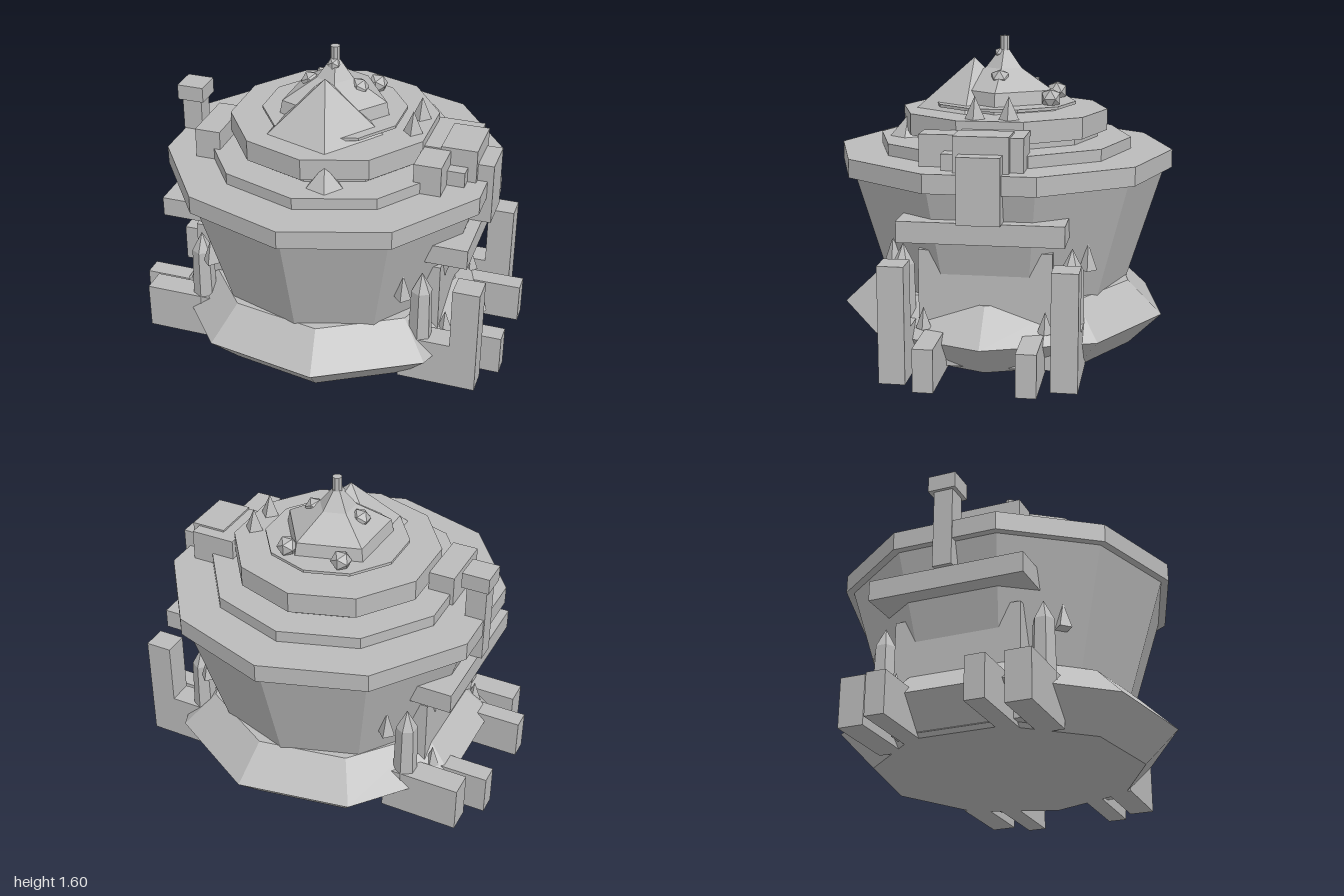
import * as THREE from 'three';

export function createModel() {
  const model = new THREE.Group();
  const stone = new THREE.MeshStandardMaterial({ color: 0xbbbbbb });
  stone.name = 'grey stone';

  const add = (name, geometry, x = 0, y = 0, z = 0) => {
    const flat = geometry.index ? geometry.toNonIndexed() : geometry;
    flat.computeVertexNormals(); // faceted look
    const mesh = new THREE.Mesh(flat, stone);
    mesh.name = name;
    mesh.position.set(x, y, z);
    model.add(mesh);
  };
  // box given by its limits
  const box = (name, x0, x1, y0, y1, z0, z1) => add(name,
    new THREE.BoxGeometry(x1 - x0, y1 - y0, z1 - z0), (x0 + x1) / 2, (y0 + y1) / 2, (z0 + z1) / 2);
  // upright frustum between two heights, start = angle of the first corner from +z
  const drum = (name, rBottom, rTop, y0, y1, sides, x = 0, z = 0, start = 0) => add(name,
    new THREE.CylinderGeometry(rTop, rBottom, y1 - y0, sides, 1, false, start), x, (y0 + y1) / 2, z);
  const cone = (name, r, y0, y1, sides, x, z, start = 0) => add(name,
    new THREE.ConeGeometry(r, y1 - y0, sides, 1, false, start), x, (y0 + y1) / 2, z);
  const knob = (name, r, x, y, z) => add(name, new THREE.IcosahedronGeometry(r, 0), x, y, z);

  // nine-sided flared base
  drum('baseLower', 0.69, 0.86, 0, 0.17, 9, 0, 0, Math.PI / 2);
  drum('baseUpper', 0.86, 0.68, 0.17, 0.34, 9, 0, 0, Math.PI / 2);

  // ten-sided body and stepped tiers
  drum('body', 0.645, 0.84, 0.3, 0.925, 10);
  drum('rim', 0.88, 0.88, 0.925, 1.02, 10);
  drum('lowerTier', 0.665, 0.665, 1.02, 1.08, 10);
  drum('tierNeck', 0.49, 0.49, 1.08, 1.115, 10);
  drum('upperTier', 0.54, 0.54, 1.115, 1.225, 10);
  drum('topPlate', 0.375, 0.375, 1.247, 1.262, 10);

  // five-sided spire with its pole, and the peaks beside it
  const turn = Math.PI * 160 / 180;
  drum('spireFoot', 0.3, 0.28, 1.225, 1.33, 5, 0, 0, turn);
  drum('spireRoof', 0.28, 0.1, 1.33, 1.435, 5, 0, 0, turn);
  drum('spireTip', 0.1, 0.025, 1.435, 1.53, 5, 0, 0, turn);
  drum('pole', 0.025, 0.025, 1.48, 1.6, 8);
  cone('frontPeak', 0.305, 1.225, 1.485, 5, 0, 0.16, Math.PI / 2);
  cone('smallPeak', 0.095, 1.08, 1.19, 5, 0.11, 0.495, Math.PI / 2);
  knob('poleKnob', 0.036, 0, 1.505, 0.02);
  for (const s of [-1, 1]) {
    knob('upperKnob', 0.052, s * 0.13, 1.39, 0.005);
    knob('lowerKnob', 0.055, s * 0.15, 1.295, -0.26);
    cone('roofSpike', 0.053, 1.22, 1.34, 4, 0.44, s * 0.085);
  }

  // mirrored side structures
  for (const s of [-1, 1]) {
    const side = (name, x0, x1, ...rest) =>
      box(name, Math.min(s * x0, s * x1), Math.max(s * x0, s * x1), ...rest);
    side('gateBlock', 0.35, 0.67, 0.02, 0.61, -0.33, 0.33);
    side('crossBeam', 0.6, 0.82, 0.68, 0.785, -0.405, 0.405);
    for (const f of [-1, 1]) {
      const z = (a, b) => [Math.min(f * a, f * b), Math.max(f * a, f * b)];
      side('outerFoot', 0.5, 0.91, 0, 0.25, ...z(0.35, 0.48));
      side('innerFoot', 0.5, 1, 0, 0.215, ...z(0.195, 0.295));
      drum('crystal', 0.065, 0.055, 0.15, 0.52, 6, s * 0.6, f * 0.42);
      cone('crystalTip', 0.055, 0.52, 0.625, 6, s * 0.6, f * 0.42);
      cone('wallSpike', 0.045, 0.5, 0.635, 4, s * 0.52, f * 0.49);
      cone('footSpike', 0.04, 0.22, 0.33, 4, s * 0.7, f * 0.3);
    }
  }

  // tall posts on the left feet
  for (const f of [-1, 1])
    box('tallPost', 0.77, 0.91, 0, 0.585, f * 0.415 - 0.065, f * 0.415 + 0.065);

  // roof blocks
  box('mainBlock', 0.51, 0.75, 1.02, 1.185, -0.2, 0.135);
  box('raisedBlock', 0.6, 0.785, 1.02, 1.195, -0.135, 0.135);
  box('frontBlock', 0.51, 0.65, 1.02, 1.178, 0.13, 0.325);
  box('cornerBlock', 0.65, 0.74, 1.02, 1.1, 0.13, 0.2);
  box('buttress', 0.75, 0.867, 0.785, 1.11, -0.105, 0.105);
  box('rightBlock', -0.65, -0.515, 1.02, 1.178, 0, 0.32);

  // chimney
  box('chimneyStem', -0.843, -0.737, 0.785, 1.2, -0.055, 0.045);
  box('chimneyCap', -0.86, -0.717, 1.197, 1.28, -0.08, 0.065);

  return model;
}
